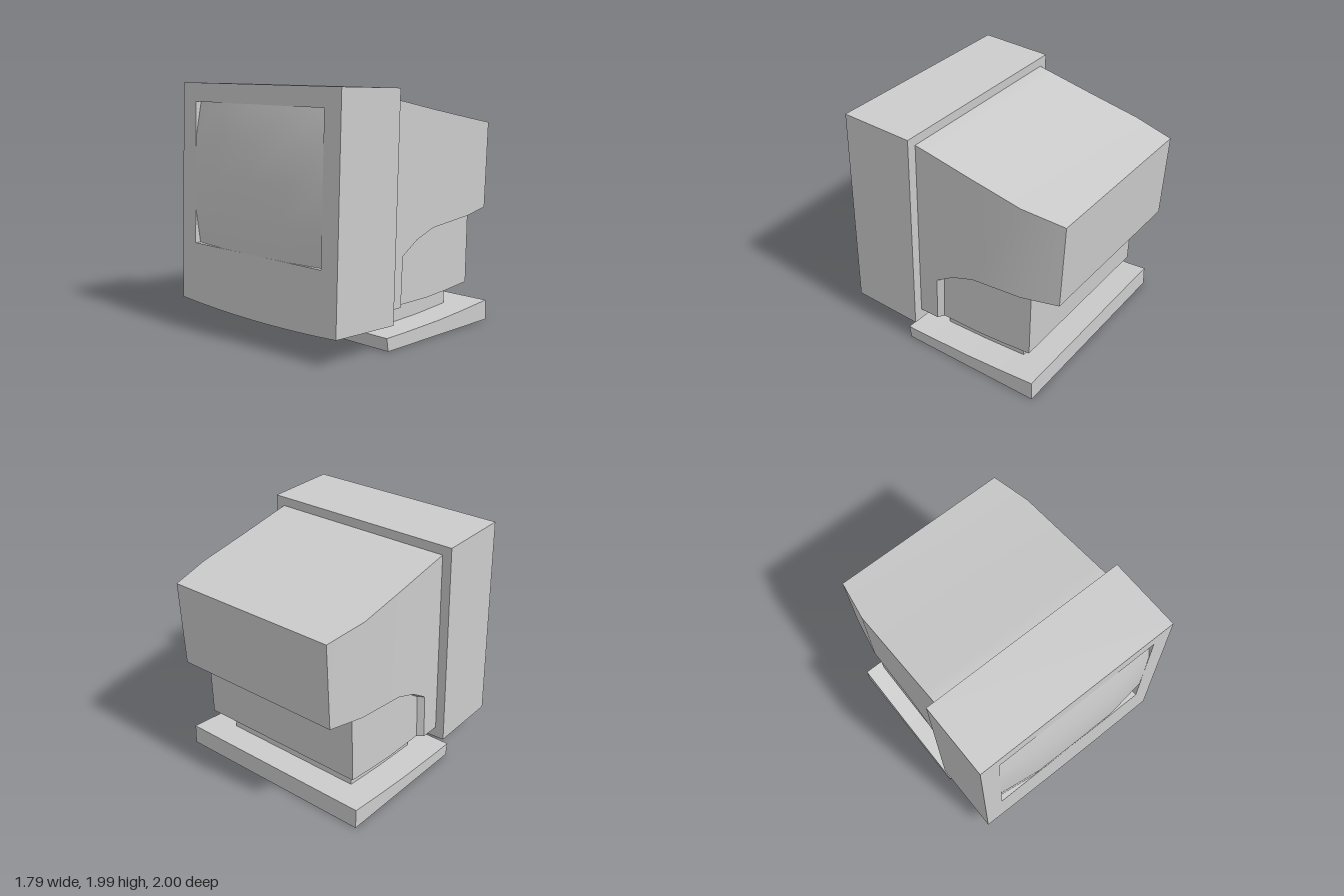
import * as THREE from 'three';
import { toCreasedNormals } from 'three/addons/utils/BufferGeometryUtils.js';

const material = new THREE.MeshStandardMaterial({ color: 0xcccccc });

function addMesh(parent, name, geometry) {
  const mesh = new THREE.Mesh(geometry, material);
  mesh.name = name;
  parent.add(mesh);
  return mesh;
}

// Side profile given as [z, y], extruded evenly across x
function slab(profile, halfWidth) {
  const shape = new THREE.Shape(profile.map(([z, y]) => new THREE.Vector2(-z, y)));
  const geo = new THREE.ExtrudeGeometry(shape, { depth: 2 * halfWidth, bevelEnabled: false });
  return geo.translate(0, 0, -halfWidth).rotateY(Math.PI / 2);
}

// Front housing: a frame with a screen opening and a bowed lower edge
const OPEN = { half: 0.73, bottom: 0.48, top: 1.63 };
function bezelGeometry() {
  const shape = new THREE.Shape();
  const w = 0.895;
  shape.moveTo(w, 1.78);
  shape.lineTo(-w, 1.78);
  for (let i = 0; i <= 8; i++) {
    const u = -1 + i / 4;
    shape.lineTo(u * w, -0.03 * (1 - u * u));
  }
  shape.closePath();
  const { half, bottom, top } = OPEN;
  shape.holes.push(new THREE.Path([
    new THREE.Vector2(-half, bottom), new THREE.Vector2(-half, top),
    new THREE.Vector2(half, top), new THREE.Vector2(half, bottom),
  ]));
  return new THREE.ExtrudeGeometry(shape, { depth: 0.62, bevelEnabled: false }).translate(0, 0, -0.62);
}

// Bulging glass: flush at the middle of each edge, sunk at the corners
function screenGeometry() {
  const { half, bottom, top } = OPEN;
  const stops = [-1, -0.52, 0, 0.52, 1];
  const drop = [0.05, 0.003, 0, 0.003, 0.05];
  const geo = new THREE.PlaneGeometry(2, 2, 4, 4);
  const pos = geo.attributes.position;
  for (let i = 0; i < pos.count; i++) {
    const c = i % 5, r = Math.floor(i / 5);
    pos.setXYZ(i, stops[c] * half,
      (top + bottom) / 2 - stops[r] * (top - bottom) / 2,
      0.05 - drop[c] - drop[r]);
  }
  geo.computeVertexNormals();
  return geo;
}

// Rear shell, lofted front to back. Each station holds the top edge, the outer
// lower edge and the inner lower edge as [z, y], then the half width.
function shellGeometry() {
  const stations = [
    [[0.33, 1.89], [0.38, 0.28], [0.38, 0.28], 0.815],
    [[0.305, 1.89], [0.36, 0.28], [0.36, 0.28], 0.815],
    [[0.165, 1.863], [0.185, 0.28], [0.15, 0.28], 0.815],
    [[0.165, 1.863], [0.165, 0.68], [0.13, 0.68], 0.815],
    [[0, 1.83], [0, 0.785], [-0.02, 0.78], 0.815],
    [[-0.2, 1.79], [-0.2, 0.857], [-0.21, 0.855], 0.815],
    [[-0.65, 1.705], [-0.65, 0.9], [-0.65, 0.9], 0.815],
    [[-1, 1.65], [-0.965, 0.93], [-0.965, 0.93], 0.757],
  ];
  const verts = [], index = [], n = 6;
  for (const [top, outer, inner, w] of stations) {
    const wi = Math.min(0.765, w);
    const half = [[w, top], [w, outer], [wi, inner]];
    const loop = [
      ...half.map(([x, p]) => [-x, p]),
      ...half.slice().reverse(),
    ];
    for (const [x, [z, y]] of loop) verts.push(x, y, z);
  }
  for (let i = 0; i < stations.length - 1; i++) {
    for (let j = 0; j < n; j++) {
      const k = (j + 1) % n;
      const a = i * n + j, b = i * n + k, c = a + n, d = b + n;
      index.push(a, c, d, a, d, b);
    }
  }
  const last = (stations.length - 1) * n;
  for (let k = 1; k < n - 1; k++) {
    index.push(last, last + k + 1, last + k); // back panel
    index.push(0, k, k + 1); // front, inside the bezel
  }
  const geo = new THREE.BufferGeometry();
  geo.setAttribute('position', new THREE.Float32BufferAttribute(verts, 3));
  geo.setIndex(index);
  return toCreasedNormals(geo, 0.35);
}

export function createModel() {
  const model = new THREE.Group();
  model.name = 'monitor';

  // Housing and glass lean back together
  const front = new THREE.Group();
  front.name = 'frontHousing';
  front.position.set(0, 0.21, 0.98);
  front.rotation.x = -0.0337;
  model.add(front);
  addMesh(front, 'bezel', bezelGeometry());
  addMesh(front, 'screen', screenGeometry());

  addMesh(model, 'rearShell', shellGeometry());

  // Narrower lower body under the shell
  addMesh(model, 'lowerBody', slab([
    [0.2, 0.283], [0.2, 0.9], [-0.2, 0.95], [-0.72, 0.95],
    [-0.705, 0.325], [-0.45, 0.3], [-0.2, 0.283],
  ].reverse(), 0.765));

  // Stand
  addMesh(model, 'pedestal', slab([
    [0.195, 0.08], [0.195, 0.3], [-0.2, 0.32], [-0.56, 0.33], [-0.575, 0.1],
  ].reverse(), 0.645));
  addMesh(model, 'base', slab([
    [0.42, 0], [0.435, 0.105], [0.2, 0.108], [-0.2, 0.12], [-0.5, 0.14],
    [-0.82, 0.167], [-0.825, 0],
  ].reverse(), 0.895));

  return model;
}
